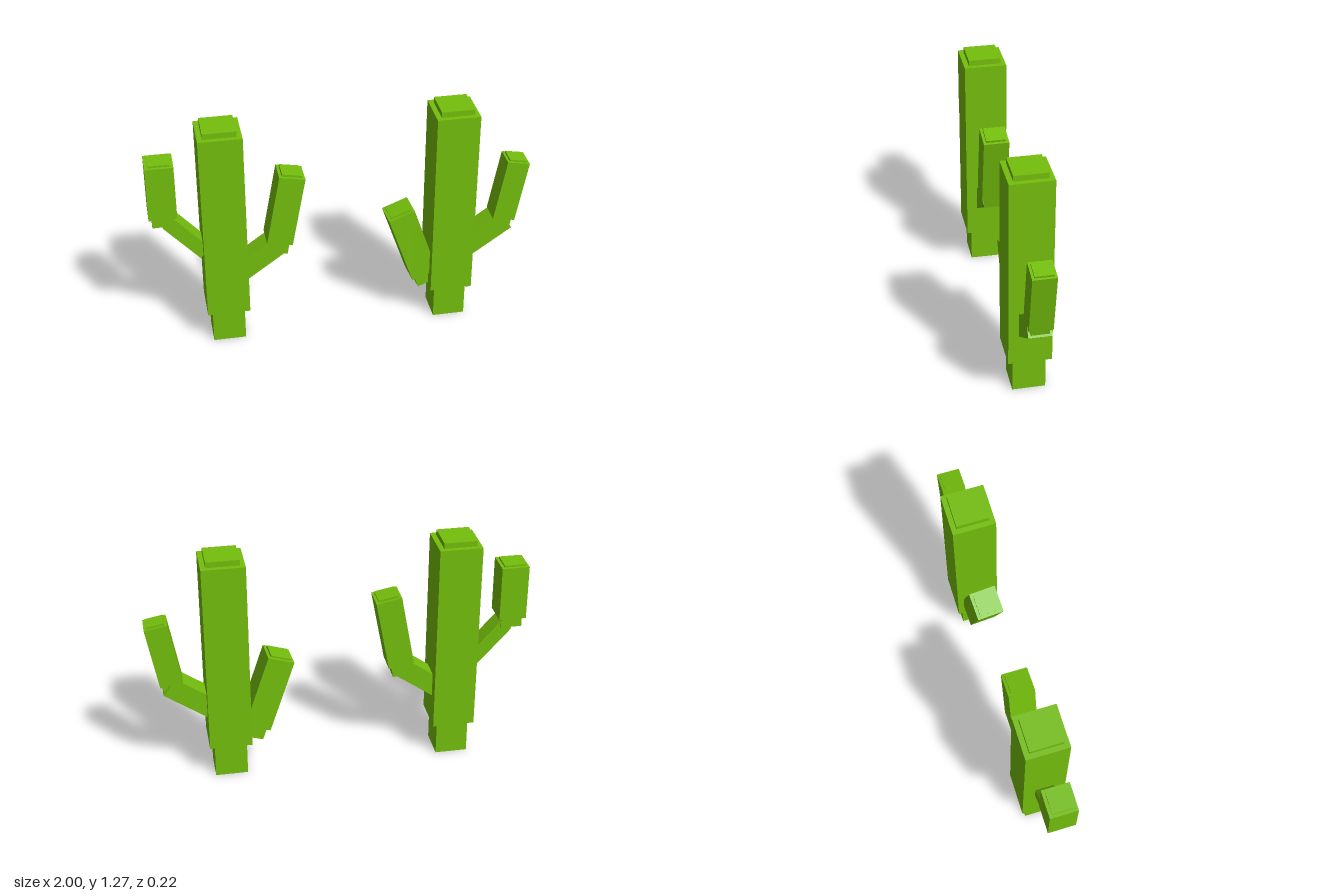
import * as THREE from 'three';

const green = new THREE.MeshStandardMaterial({ color: 0x74be0c });
green.name = 'cactusGreen';

function box(name, w, h, d, x, y) {
  const mesh = new THREE.Mesh(new THREE.BoxGeometry(w, h, d), green);
  mesh.name = name;
  mesh.position.set(x, y, 0);
  return mesh;
}

// Thick rind with a narrower core poking out at the top and bottom
function limb(name, { x, y, width, length, core, top, bottom, tilt = 0, turn = 0 }) {
  const group = new THREE.Group();
  group.name = name;
  group.add(box('rind', width, length, width, 0, 0));
  group.add(box('core', core, length + top + bottom, core, 0, (top - bottom) / 2));
  group.position.set(x, y, 0);
  group.rotation.set(0, turn, tilt, 'YXZ');
  return group;
}

// Slanted branch joining an arm to the trunk, given by the ends of its lower edge
function branch(name, [x0, y0], [x1, y1], thickness, depth) {
  const angle = Math.atan2(y1 - y0, x1 - x0);
  const mesh = box(name, Math.hypot(x1 - x0, y1 - y0), thickness, depth,
    (x0 + x1) / 2 - Math.sin(angle) * thickness / 2,
    (y0 + y1) / 2 + Math.cos(angle) * thickness / 2);
  mesh.rotation.z = angle;
  return mesh;
}

function trunk(x) {
  return limb('trunk', { x, y: 0.715, width: 0.225, length: 1.05, core: 0.172, top: 0.03, bottom: 0.19 });
}

export function createModel() {
  const model = new THREE.Group();
  model.name = 'cactusPair';

  // Cactus with two raised arms on branches
  const rightCactus = new THREE.Group();
  rightCactus.name = 'rightCactus';
  rightCactus.add(
    trunk(-0.624),
    limb('uprightArm', { x: -0.93, y: 0.94, width: 0.145, length: 0.3, core: 0.112, top: 0.01, bottom: 0.055 }),
    branch('uprightArmBranch', [-0.934, 0.722], [-0.752, 0.518], 0.078, 0.098),
    limb('leaningArm', { x: -0.3, y: 0.76, width: 0.137, length: 0.4, core: 0.107, top: 0.012, bottom: 0.065, tilt: -0.184 }),
    branch('leaningArmBranch', [-0.57, 0.312], [-0.292, 0.513], 0.107, 0.112),
  );

  // Cactus with one raised arm and one arm growing straight from the trunk
  const leftCactus = new THREE.Group();
  leftCactus.name = 'leftCactus';
  leftCactus.add(
    trunk(0.587),
    limb('leaningArm', { x: 0.906, y: 0.741, width: 0.121, length: 0.348, core: 0.095, top: 0.01, bottom: 0.04, tilt: -0.178 }),
    branch('leaningArmBranch', [0.64, 0.314], [0.921, 0.512], 0.113, 0.118),
    limb('lowArm', { x: 0.376, y: 0.465, width: 0.145, length: 0.42, core: 0.112, top: 0.01, bottom: 0.07, tilt: 0.332, turn: 0.07 }),
  );

  model.add(rightCactus, leftCactus);
  return model;
}
